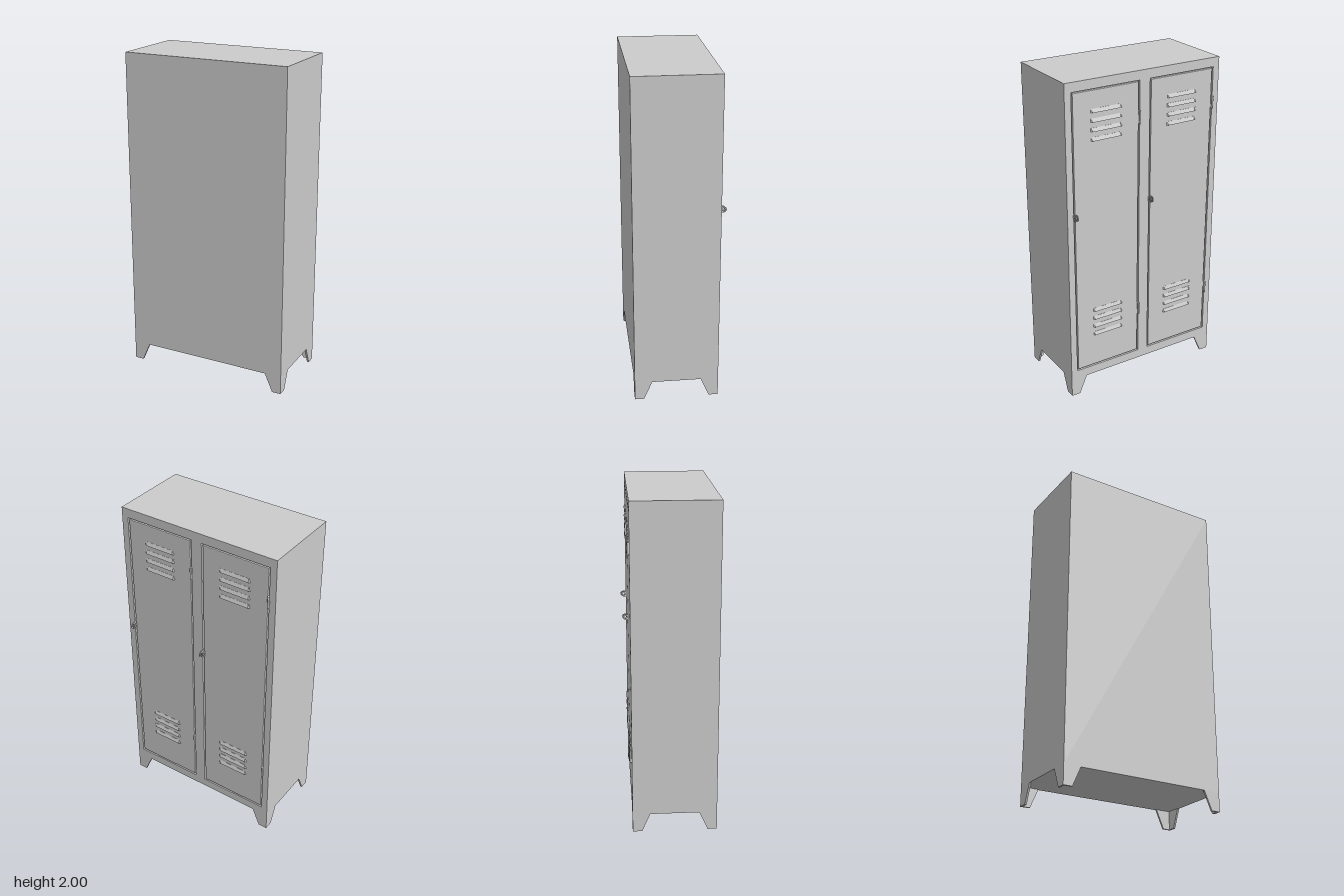
import * as THREE from 'three';

const grey = new THREE.MeshStandardMaterial({ color: 0xcccccc });
const W = 0.517;            // half width
const ZB = -0.238;          // door side
const ZF = 0.27;            // plain side
const Y0 = 0.115, Y1 = 2;   // cabinet bottom and top

function add(parent, name, geometry, x = 0, y = 0, z = 0) {
  const mesh = new THREE.Mesh(geometry, grey);
  mesh.name = name;
  mesh.position.set(x, y, z);
  parent.add(mesh);
  return mesh;
}

function polygon(points) {
  return new THREE.Shape(points.map(([x, y]) => new THREE.Vector2(x, y)));
}

function rect(x0, y0, x1, y1) {
  return polygon([[x0, y0], [x1, y0], [x1, y1], [x0, y1]]);
}

function extrude(shape, depth) {
  return new THREE.ExtrudeGeometry(shape, { depth, bevelEnabled: false, curveSegments: 16 });
}

// Vent hood: a trapezoid in plan that slopes back to the door at its top edge
function louverGeometry() {
  const h = 0.022, out = 0.009;
  const geo = extrude(polygon([[-0.102, 0], [0.102, 0], [0.09, out], [-0.09, out]]), h);
  geo.rotateX(-Math.PI / 2); // plan depth now points to -z, height to +y
  const p = geo.attributes.position;
  for (let i = 0; i < p.count; i++) {
    if (p.getY(i) > h / 2) p.setZ(i, p.getZ(i) * 0.1);
  }
  geo.translate(0, -h / 2, 0);
  geo.computeVertexNormals();
  return geo;
}

// Rounded plate with an eye for a padlock, standing out towards -z
function haspGeometry(reach) {
  const r = 0.017, c = reach - r, t = 0.004;
  const s = new THREE.Shape();
  s.moveTo(-0.006, -r);
  s.lineTo(c, -r);
  s.absarc(c, 0, r, -Math.PI / 2, Math.PI / 2, false);
  s.lineTo(-0.006, r);
  s.closePath();
  s.holes.push(new THREE.Path().absarc(c, 0, 0.009, 0, Math.PI * 2, true));
  return extrude(s, t).translate(0, 0, -t / 2).rotateY(Math.PI / 2);
}

// Corner leg: two tapered sheet panels meeting at the outer edge
function makeLeg(sx, sz) {
  const leg = new THREE.Group();
  leg.name = 'leg';
  const t = 0.012;
  const zOut = sz > 0 ? ZF : ZB;
  const taper = (s) => polygon([[0, 0], [s * 0.056, 0], [s * 0.106, Y0], [0, Y0]]);
  add(leg, 'legWidePanel', extrude(taper(-sx), t), sx * W, 0, sz > 0 ? ZF - t : ZB);
  // after the turn, shape x runs along -z
  add(leg, 'legSidePanel', extrude(taper(sz), t).rotateY(Math.PI / 2),
    sx > 0 ? W - t : -W, 0, zOut);
  return leg;
}

function makeDoor(cx) {
  const door = new THREE.Group();
  door.name = 'door';
  door.position.x = cx;

  // Panel with a softened edge, flush with the frame
  const b = 0.004, hw = 0.213 - b;
  const panel = new THREE.ExtrudeGeometry(rect(-hw, 0.179 + b, hw, 1.936 - b), {
    depth: 0.012, bevelEnabled: true, bevelSize: b, bevelThickness: b, bevelSegments: 2,
  });
  add(door, 'doorPanel', panel, 0, 0, ZB + b);

  // Two banks of four vents
  const louver = louverGeometry();
  for (const base of [0.4, 1.655]) {
    for (let i = 0; i < 4; i++) add(door, 'ventLouver', louver, 0, base + i * 0.055, ZB);
  }

  // Hinges on the -x edge
  for (const y of [0.48, 1.73]) {
    add(door, 'hingePin', new THREE.CylinderGeometry(0.006, 0.006, 0.075, 14), -0.219, y, ZB - 0.006);
    add(door, 'hingeLeaf', new THREE.BoxGeometry(0.012, 0.075, 0.012), -0.219, y, ZB + 0.005);
  }

  // Padlock eyes on the +x edge
  add(door, 'doorHasp', haspGeometry(0.031), 0.208, 1.206, ZB);
  add(door, 'frameHasp', haspGeometry(0.035), 0.223, 1.206, ZB);
  return door;
}

export function createModel() {
  const model = new THREE.Group();
  model.name = 'locker';

  // Closed cabinet behind the door frame
  const frameDepth = 0.02;
  const depth = ZF - ZB - frameDepth;
  add(model, 'cabinet', new THREE.BoxGeometry(W * 2, Y1 - Y0, depth),
    0, (Y0 + Y1) / 2, ZF - depth / 2);

  // Frame with two door openings
  const frame = rect(-W, Y0, W, Y1);
  const centres = [-0.255, 0.255];
  for (const c of centres) frame.holes.push(rect(c - 0.221, 0.171, c + 0.221, 1.944));
  add(model, 'doorFrame', extrude(frame, frameDepth), 0, 0, ZB);

  for (const c of centres) model.add(makeDoor(c));

  for (const sx of [-1, 1]) {
    for (const sz of [-1, 1]) model.add(makeLeg(sx, sz));
  }
  return model;
}
